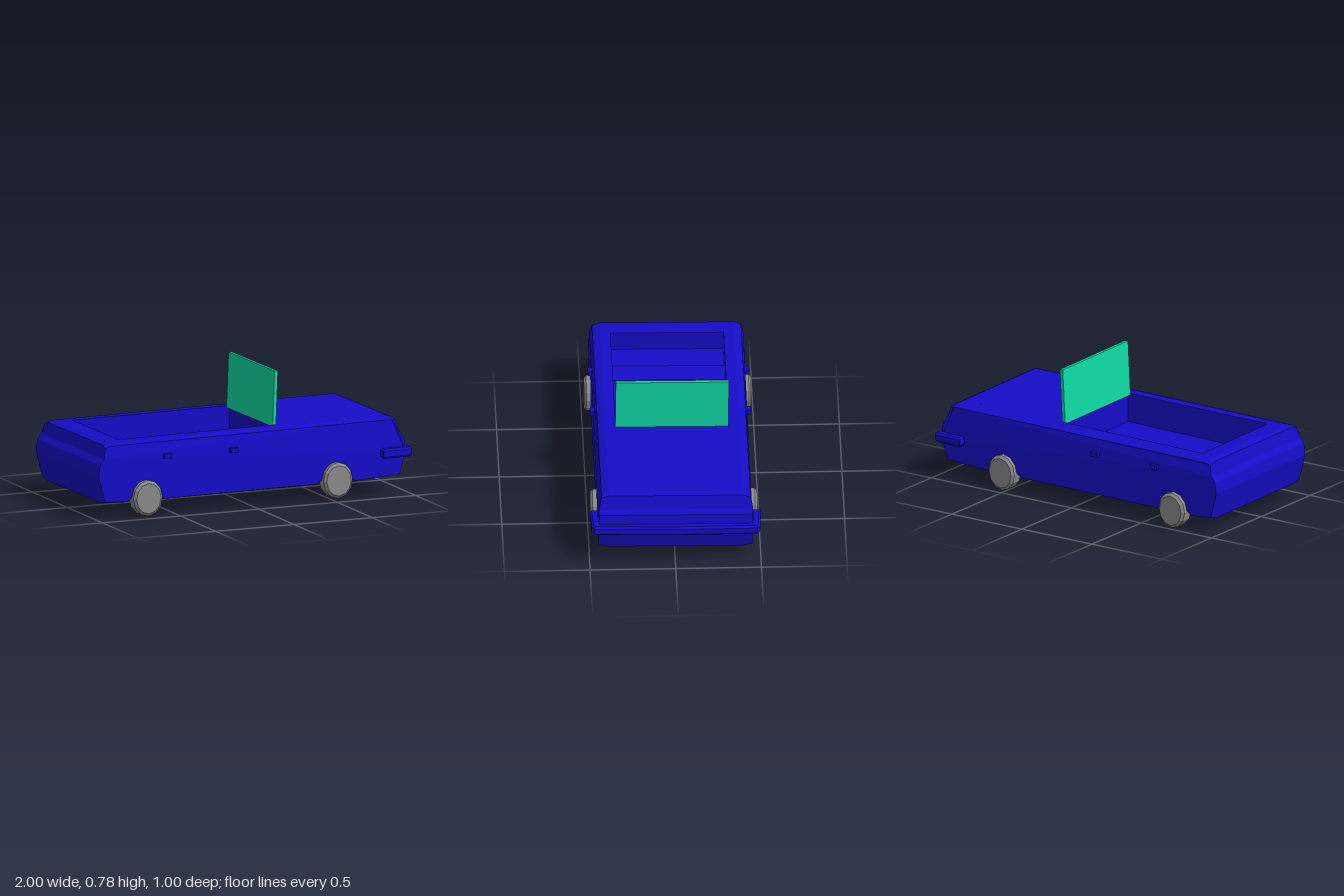
import * as THREE from 'three';

const mat = (color) => new THREE.MeshStandardMaterial({ color, flatShading: true });

export function createModel() {
  const car = new THREE.Group();
  car.name = 'car';
  const blue = mat(0x160cc8), green = mat(0x0edba5), grey = mat(0x8a8a8a);

  const add = (name, geometry, material, x = 0, y = 0, z = 0) => {
    const mesh = new THREE.Mesh(geometry, material);
    mesh.name = name;
    mesh.position.set(x, y, z);
    car.add(mesh);
    return mesh;
  };

  // Wheel tunnel in the underside, listed from the rear to the front
  const tunnel = (x, y) => [
    [x - 0.125, y], [x - 0.09, y + 0.035], [x - 0.065, y + 0.085], [x, y + 0.11],
    [x + 0.065, y + 0.085], [x + 0.09, y + 0.035], [x + 0.12, y],
  ];
  const REAR = -0.697, FRONT = 0.517;

  // Side profile of the body, with or without the open cockpit
  const cockpit = [[0.18, 0.456], [0.18, 0.28], [-0.59, 0.27], [-0.65, 0.33], [-0.82, 0.335], [-0.82, 0.449]];
  const profile = (open) => new THREE.Shape([
    [-0.96, 0.093], ...tunnel(REAR, 0.085), ...tunnel(FRONT, 0.092), [0.92, 0.108],
    [0.96, 0.25], [0.95, 0.345], [0.925, 0.37], [0.905, 0.45], [0.88, 0.461],
    ...(open ? cockpit : []),
    [-0.92, 0.448], [-0.95, 0.437], [-0.965, 0.362], [-0.992, 0.33], [-1, 0.26],
  ].map(([x, y]) => new THREE.Vector2(x, y)));

  // Slab of the body; its outermost edges are chamfered at top and bottom
  const slab = (name, open, z, depth, steps) => {
    const geo = new THREE.ExtrudeGeometry(profile(open), { depth, steps, bevelEnabled: false });
    geo.translate(0, 0, z);
    const p = geo.attributes.position;
    for (let i = 0; i < p.count; i++) {
      const y = p.getY(i), pz = p.getZ(i);
      if (Math.abs(pz) < 0.44) continue;
      if (y > 0.4) {
        p.setY(i, y - 0.014);
        p.setZ(i, Math.sign(pz) * 0.435);
      } else if (y < 0.11) p.setY(i, y + 0.014);
    }
    geo.computeVertexNormals();
    add(name, geo, blue);
  };
  slab('bodyCentre', true, -0.33, 0.66, 1);
  slab('bodySideLeft', false, 0.33, 0.12, 2);
  slab('bodySideRight', false, -0.45, 0.12, 2);

  // Windscreen, leaning slightly forward
  add('windscreen', new THREE.BoxGeometry(0.021, 0.33, 0.66), green, 0.181, 0.609, 0.003).rotation.z = -0.045;

  // Wrap-around front bumper, drawn from above and extruded upwards
  const half = [[0.81, 0.455], [0.81, 0.488], [0.965, 0.48], [0.978, 0.47]];
  const inner = [[0.92, 0.455]];
  const outline = [
    ...inner, ...half, [0.988, 0],
    ...half.map(([x, z]) => [x, -z]).reverse(), ...inner.map(([x, z]) => [x, -z]),
  ];
  const bumperGeo = new THREE.ExtrudeGeometry(
    new THREE.Shape(outline.map(([x, z]) => new THREE.Vector2(x, z))),
    { depth: 0.034, bevelThickness: 0.012, bevelSize: 0.012, bevelSegments: 1 },
  );
  bumperGeo.rotateX(-Math.PI / 2);
  add('frontBumper', bumperGeo, blue, 0, 0.24, 0);

  // Chamfered wheels, slightly taller than long, joined by axles
  const wheelGeo = new THREE.LatheGeometry([
    [0, -0.047], [0.09, -0.047], [0.107, -0.033], [0.107, 0.033], [0.09, 0.047], [0, 0.047],
  ].map(([r, y]) => new THREE.Vector2(r, y)), 12);
  wheelGeo.rotateX(Math.PI / 2);
  wheelGeo.scale(0.87, 1, 1);
  const axleGeo = new THREE.CylinderGeometry(0.034, 0.034, 0.82, 12);
  axleGeo.rotateX(Math.PI / 2);
  for (const [end, x, y] of [['rear', REAR, 0.114], ['front', FRONT, 0.121]]) {
    add(end + 'Axle', axleGeo, grey, x, y, 0);
    for (const s of [1, -1]) add(end + 'Wheel' + (s > 0 ? 'Left' : 'Right'), wheelGeo, grey, x, y, s * 0.441);
  }

  // Door handles
  const handleGeo = new THREE.BoxGeometry(0.05, 0.028, 0.04);
  for (const x of [-0.565, -0.14])
    for (const s of [1, -1]) add('doorHandle', handleGeo, blue, x, 0.351, s * 0.45);

  // The whole car leans a touch to one side
  car.rotation.x = -0.01;
  const model = new THREE.Group();
  model.name = 'convertible';
  model.add(car);
  return model;
}
